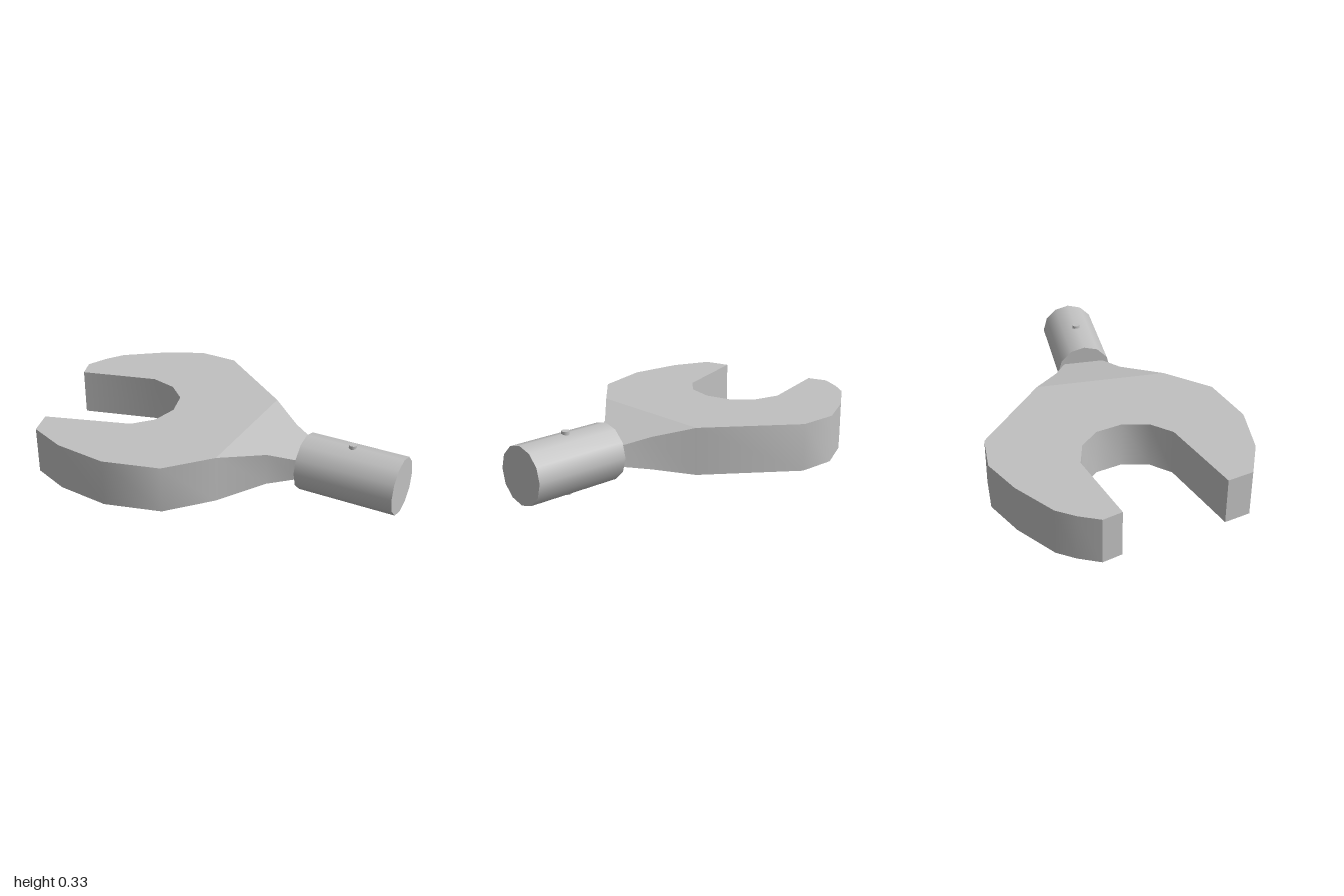
import * as THREE from 'three';
import { toCreasedNormals } from 'three/addons/utils/BufferGeometryUtils.js';

const MID_Y = 0.163, THICK = 0.25, TAPER_X = 0.16, NECK_X = 0.48, SHAFT_Z = -0.015;

// Upright plate from an outline of [x, z] points, thinned towards the shaft
function plate(points) {
  const shape = new THREE.Shape(points.map(([x, z]) => new THREE.Vector2(x, -z)));
  const geo = new THREE.ExtrudeGeometry(shape, { depth: THICK, bevelEnabled: false });
  geo.rotateX(-Math.PI / 2).translate(0, -THICK / 2, 0);
  const p = geo.attributes.position;
  for (let i = 0; i < p.count; i++) {
    const t = Math.max(0, (p.getX(i) - TAPER_X) / (NECK_X - TAPER_X));
    p.setY(i, MID_Y + p.getY(i) * (1 - 0.56 * t));
  }
  return toCreasedNormals(geo, 0.7);
}

export function createModel() {
  const group = new THREE.Group();
  const steel = new THREE.MeshStandardMaterial({ color: 0xc0c0c0 });
  steel.name = 'steel grey';
  const add = (name, geo) => {
    const mesh = new THREE.Mesh(geo, steel);
    mesh.name = name;
    group.add(mesh);
    return mesh;
  };

  // Open jaw with its slanted mouth
  add('jaw', plate([
    [TAPER_X, -0.335], [-0.28, -0.665], [-0.49, -0.67], [-0.69, -0.57], [-0.89, -0.42],
    [-0.95, -0.33], [-1, -0.22], [-0.965, -0.12], [-0.56, -0.235], [-0.42, -0.2],
    [-0.32, -0.11], [-0.28, 0.03], [-0.31, 0.17], [-0.4, 0.27], [-0.84, 0.415],
    [-0.8, 0.55], [-0.6, 0.63], [-0.32, 0.66], [-0.03, 0.58], [TAPER_X, 0.365],
  ]));

  // Tapered neck
  add('neck', plate([
    [TAPER_X, -0.335], [TAPER_X, 0.365], [0.34, 0.16], [NECK_X, 0.09],
    [NECK_X, -0.13], [0.34, -0.2],
  ]));

  // Round shaft stub
  const shaft = new THREE.CylinderGeometry(0.15, 0.15, 1 - NECK_X, 12).rotateZ(Math.PI / 2);
  add('shaft', shaft).position.set((1 + NECK_X) / 2, MID_Y, SHAFT_Z);

  // Cross pin through the shaft
  const pin = new THREE.CylinderGeometry(0.021, 0.021, MID_Y * 2, 12);
  add('pin', pin).position.set(0.73, MID_Y, SHAFT_Z);

  return group;
}
